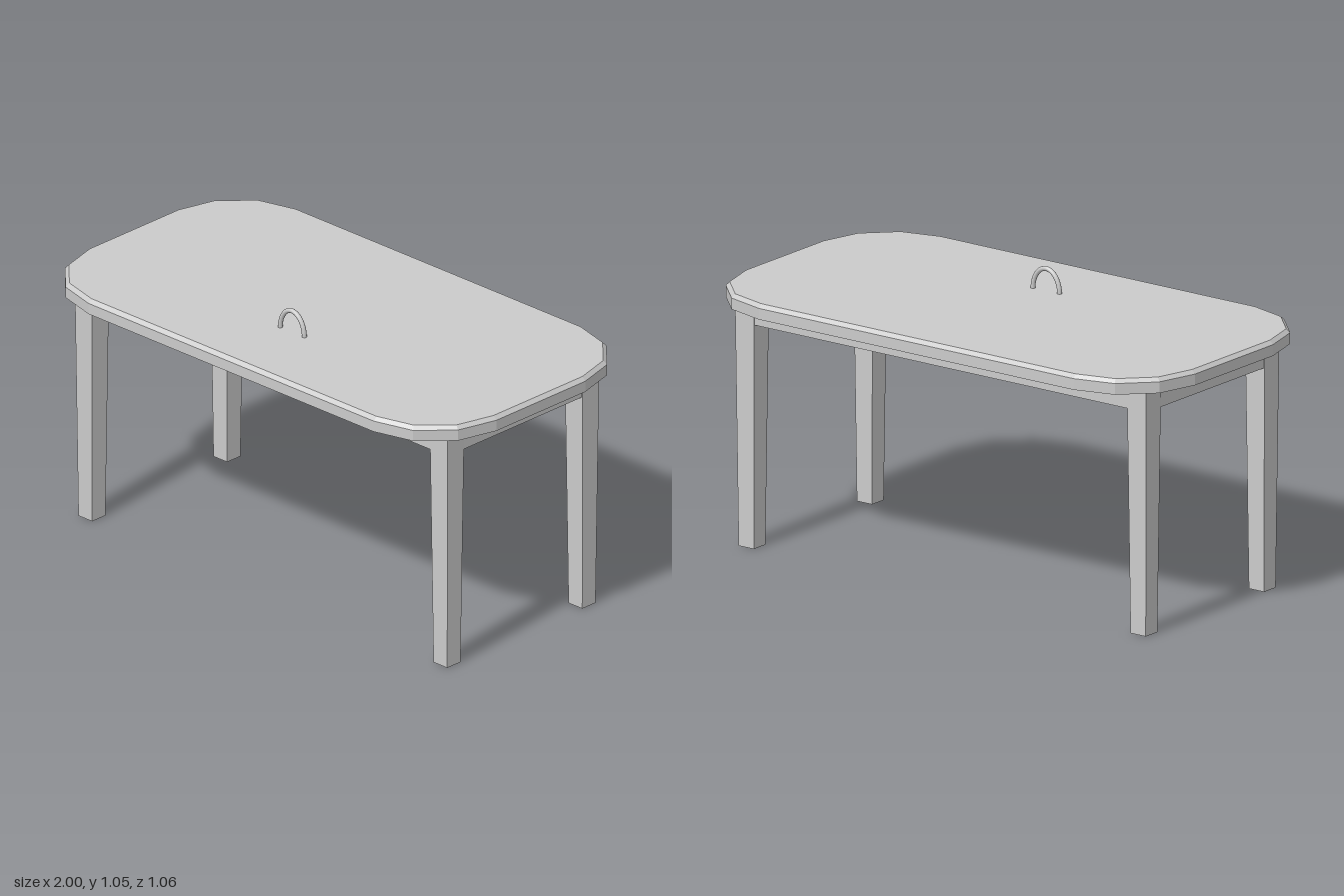
import * as THREE from 'three';

const material = new THREE.MeshStandardMaterial({ color: 0xcccccc, flatShading: true });
const smooth = new THREE.MeshStandardMaterial({ color: 0xcccccc });

const TOP_BOTTOM = 0.902;
const LEG_X = 0.867, LEG_Z = 0.34, LEG_SHIFT = -0.005;
const LEG_TOP = 0.085, LEG_FOOT = 0.067;

function add(parent, name, geometry, mat = material) {
  const mesh = new THREE.Mesh(geometry, mat);
  mesh.name = name;
  parent.add(mesh);
  return mesh;
}

// Rounded rectangle outline with three facets per corner
function outline(radius) {
  const points = [];
  for (let corner = 0; corner < 4; corner++) {
    const sx = corner === 0 || corner === 3 ? 1 : -1;
    const sz = corner < 2 ? 1 : -1;
    for (let i = 0; i <= 3; i++) {
      const a = (corner * 90 + i * 30) * Math.PI / 180;
      points.push([sx * 0.696 + Math.cos(a) * radius, sz * 0.224 + Math.sin(a) * radius]);
    }
  }
  return points;
}

// Solid slab from stacked outlines, closed above and below
function slab(sections) {
  const positions = [];
  const rings = sections.map(([y, r]) => outline(r).map(([x, z]) => [x, y, z]));
  const tri = (a, b, c) => positions.push(...a, ...b, ...c);
  const n = rings[0].length;
  const lowest = rings[0], highest = rings[rings.length - 1];
  for (let i = 0; i < n; i++) {
    const j = (i + 1) % n;
    for (let k = 0; k < rings.length - 1; k++) {
      const lower = rings[k], upper = rings[k + 1];
      tri(lower[i], upper[i], upper[j]);
      tri(lower[i], upper[j], lower[j]);
    }
    tri([0, highest[0][1], 0], highest[j], highest[i]);
    tri([0, lowest[0][1], 0], lowest[i], lowest[j]);
  }
  const geometry = new THREE.BufferGeometry();
  geometry.setAttribute('position', new THREE.Float32BufferAttribute(positions, 3));
  geometry.computeVertexNormals();
  return geometry;
}

// Square leg tapering towards the foot
function legGeometry() {
  const geometry = new THREE.BoxGeometry(LEG_TOP, TOP_BOTTOM, LEG_TOP);
  geometry.translate(0, TOP_BOTTOM / 2, 0);
  const p = geometry.attributes.position;
  for (let i = 0; i < p.count; i++) {
    if (p.getY(i) < 0.01) {
      p.setX(i, p.getX(i) * LEG_FOOT / LEG_TOP);
      p.setZ(i, p.getZ(i) * LEG_FOOT / LEG_TOP);
    }
  }
  geometry.computeVertexNormals();
  return geometry;
}

export function createModel() {
  const table = new THREE.Group();
  table.name = 'table';

  // Top with a chamfered upper edge
  add(table, 'tabletop', slab([[TOP_BOTTOM, 0.304], [0.943, 0.304], [0.957, 0.29]]));

  // Legs and the rails between them
  const frame = new THREE.Group();
  frame.name = 'frame';
  frame.position.z = LEG_SHIFT;
  table.add(frame);
  const leg = legGeometry();
  const railHeight = 0.079, railWidth = 0.078;
  const longRail = new THREE.BoxGeometry(LEG_X * 2 - LEG_TOP + 0.006, railHeight, railWidth);
  const shortRail = new THREE.BoxGeometry(railWidth, railHeight, LEG_Z * 2 - LEG_TOP + 0.006);
  const railY = TOP_BOTTOM - railHeight / 2;
  for (const s of [-1, 1]) {
    for (const t of [-1, 1]) {
      const name = (t > 0 ? 'front' : 'back') + (s > 0 ? 'Left' : 'Right') + 'Leg';
      add(frame, name, leg).position.set(s * LEG_X, 0, t * LEG_Z);
    }
    add(frame, s > 0 ? 'frontRail' : 'backRail', longRail).position.set(0, railY, s * LEG_Z);
    add(frame, s > 0 ? 'leftRail' : 'rightRail', shortRail).position.set(s * LEG_X, railY, 0);
  }

  // Small arched handle standing on the top
  const arch = [];
  for (let i = 0; i <= 16; i++) {
    const a = Math.PI * i / 16;
    arch.push(new THREE.Vector3(Math.cos(a) * 0.059, 0.955 + Math.sin(a) * 0.083, 0.22));
  }
  add(table, 'handle', new THREE.TubeGeometry(new THREE.CatmullRomCurve3(arch), 24, 0.0088, 10), smooth);

  return table;
}
